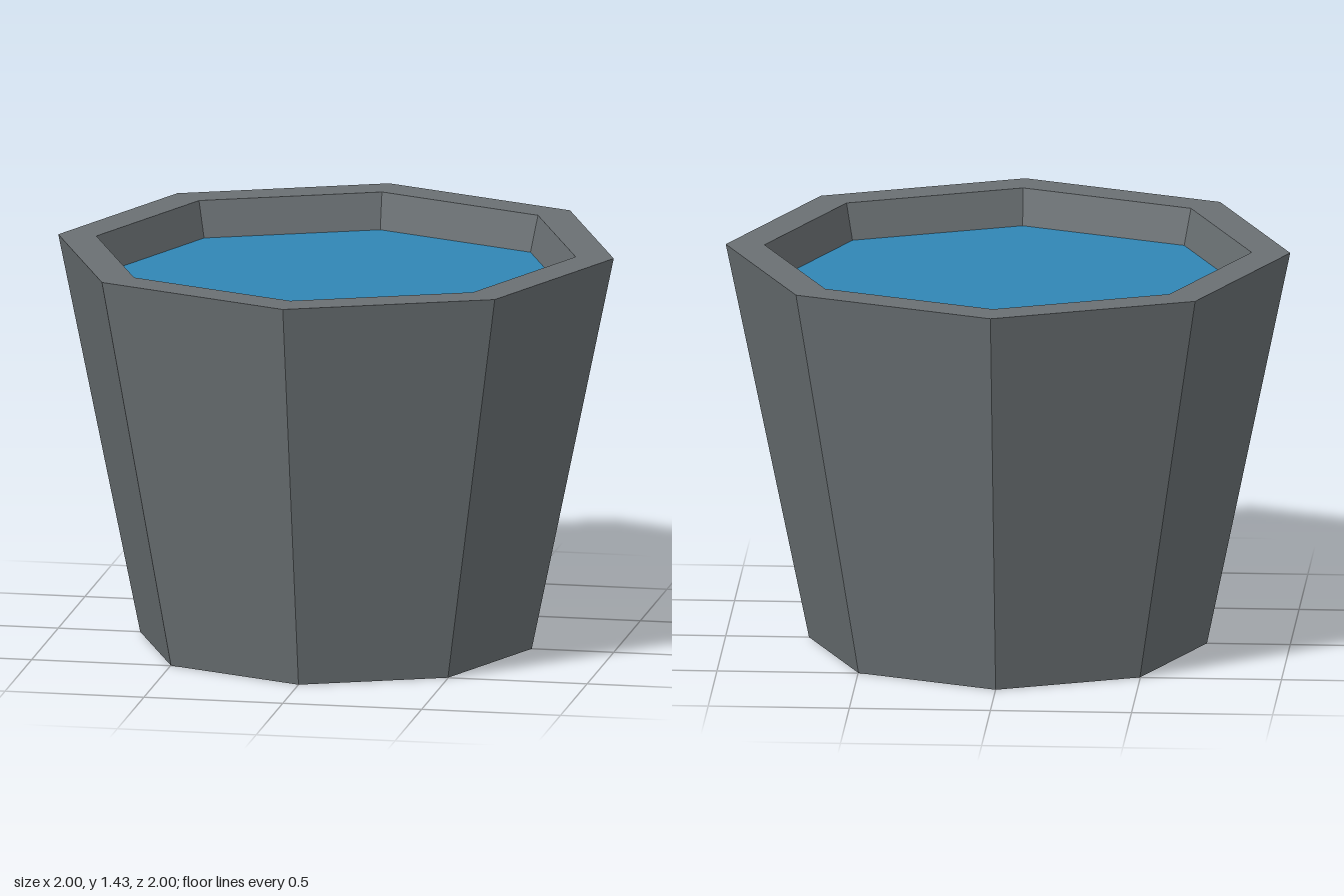
import * as THREE from 'three';

const SIDES = 8;
const HEIGHT = 1.43;
const WATER_LEVEL = 1.3;

export function createModel() {
  const stone = new THREE.MeshStandardMaterial({ color: 0x6a7073, flatShading: true, side: THREE.DoubleSide });
  stone.name = 'grey stone';
  const blue = new THREE.MeshStandardMaterial({ color: 0x3186b5, flatShading: true, side: THREE.DoubleSide });
  blue.name = 'water blue';

  const group = new THREE.Group();
  group.name = 'waterBucket';

  // One faceted ring of a flaring wall, given as [radius, y] ends
  const addRing = (name, from, to) => {
    const profile = [from, to].map(([r, y]) => new THREE.Vector2(r, y));
    const geometry = new THREE.LatheGeometry(profile, SIDES).toNonIndexed();
    geometry.computeVertexNormals();
    const mesh = new THREE.Mesh(geometry, stone);
    mesh.name = name;
    group.add(mesh);
  };

  // Hollow shell, open underneath
  addRing('outerWall', [0.705, 0], [1, HEIGHT]);
  addRing('rim', [1, HEIGHT], [0.863, HEIGHT]);
  addRing('innerWall', [0.863, HEIGHT], [0.831, WATER_LEVEL]);

  // Water surface filling the inner wall
  const water = new THREE.Mesh(new THREE.CircleGeometry(0.831, SIDES).rotateX(-Math.PI / 2), blue);
  water.name = 'water';
  water.position.y = WATER_LEVEL;
  group.add(water);

  return group;
}
